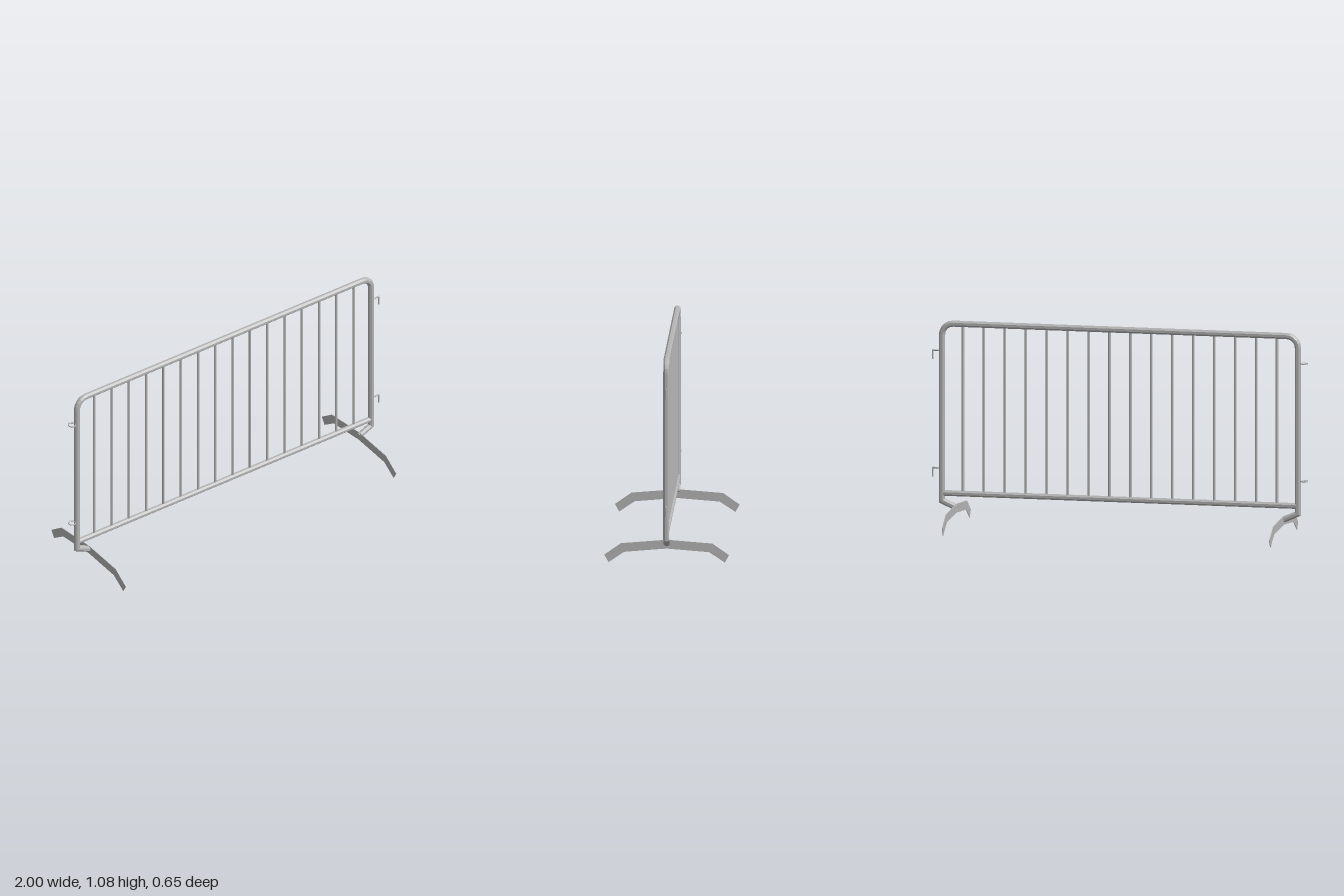
import * as THREE from 'three';

const steel = new THREE.MeshStandardMaterial({ color: 0xb4b4b4, flatShading: true });
steel.name = 'galvanised steel';

// Mitred, capped tube swept along a path of [x, y] points at z = 0
function tube(name, path, radius, sides = 8) {
  const pts = path.map(([x, y]) => new THREE.Vector2(x, y));
  const pos = [], idx = [], last = pts.length - 1;
  pts.forEach((p, i) => {
    const a = pts[i].clone().sub(pts[Math.max(i - 1, 0)]).normalize();
    const b = pts[Math.min(i + 1, last)].clone().sub(p).normalize();
    const t = a.clone().add(b).normalize();
    const stretch = radius / t.dot(i < last ? b : a);
    for (let s = 0; s < sides; s++) {
      const ang = ((s + 0.5) / sides) * Math.PI * 2;
      const c = Math.cos(ang) * stretch;
      pos.push(p.x - t.y * c, p.y + t.x * c, Math.sin(ang) * radius);
    }
  });
  for (let i = 0; i < last; i++) {
    for (let s = 0; s < sides; s++) {
      const n = (s + 1) % sides, a = i * sides, b = a + sides;
      idx.push(a + s, a + n, b + s, a + n, b + n, b + s);
    }
  }
  // End caps
  for (let s = 1; s < sides - 1; s++) {
    const e = last * sides;
    idx.push(0, s + 1, s, e, e + s, e + s + 1);
  }
  const geo = new THREE.BufferGeometry();
  geo.setAttribute('position', new THREE.Float32BufferAttribute(pos, 3));
  geo.setIndex(idx);
  return mesh(name, geo);
}

function mesh(name, geo) {
  const flat = geo.index ? geo.toNonIndexed() : geo;
  flat.computeVertexNormals();
  const m = new THREE.Mesh(flat, steel);
  m.name = name;
  return m;
}

export function createModel() {
  const barrier = new THREE.Group();
  barrier.name = 'crowdBarrier';
  const X = 0.946, TOP = 1.064, RAIL = 0.175, BEND = 0.06, R = 0.0165, FOOT_X = 0.87;

  // Outer frame: one bent pipe with inward stubs at the bottom
  const half = [[FOOT_X, 0.101], [X, 0.135]];
  for (let i = 0; i <= 5; i++) {
    const a = (i / 5) * Math.PI / 2;
    half.push([X - BEND + Math.cos(a) * BEND, TOP - BEND + Math.sin(a) * BEND]);
  }
  const mirrored = half.map(([x, y]) => [-x, y]).reverse();
  barrier.add(tube('outerFrame', [...half, ...mirrored], R));

  // Bottom rail
  barrier.add(tube('bottomRail', [[-X, RAIL], [X, RAIL]], 0.0155));

  // Sixteen upright bars
  const bars = new THREE.Group();
  bars.name = 'uprightBars';
  for (let i = 1; i <= 16; i++) {
    const x = -X + (i * 2 * X) / 17;
    bars.add(tube('uprightBar', [[x, RAIL], [x, TOP]], 0.0068));
  }
  barrier.add(bars);

  // Bent flat feet, profile drawn in z and y
  const side = [[0.237, 0.101], [0.323, 0.041], [0.301, 0.002], [0.22, 0.056]];
  const outline = [[0, 0.12], ...side, [0, 0.074],
    ...side.map(([z, y]) => [-z, y]).reverse()];
  const footShape = new THREE.Shape(outline.map(([z, y]) => new THREE.Vector2(z, y)));
  for (const s of [-1, 1]) {
    const geo = new THREE.ExtrudeGeometry(footShape, { depth: 0.003, bevelEnabled: false });
    geo.translate(0, 0, -0.0015).rotateY(Math.PI / 2);
    const foot = mesh(s > 0 ? 'leftFoot' : 'rightFoot', geo);
    foot.position.x = s * FOOT_X;
    barrier.add(foot);
  }

  // Coupling hooks on the left post and eyes on the right post
  for (const y of [0.922, 0.306]) {
    barrier.add(tube('couplingHook', [[X, y], [0.996, y], [0.996, y - 0.047]], 0.0043, 6));
    const eye = mesh('couplingEye', new THREE.TorusGeometry(0.019, 0.003, 6, 16).rotateX(Math.PI / 2));
    eye.position.set(-0.978, y, 0);
    barrier.add(eye);
  }
  return barrier;
}
